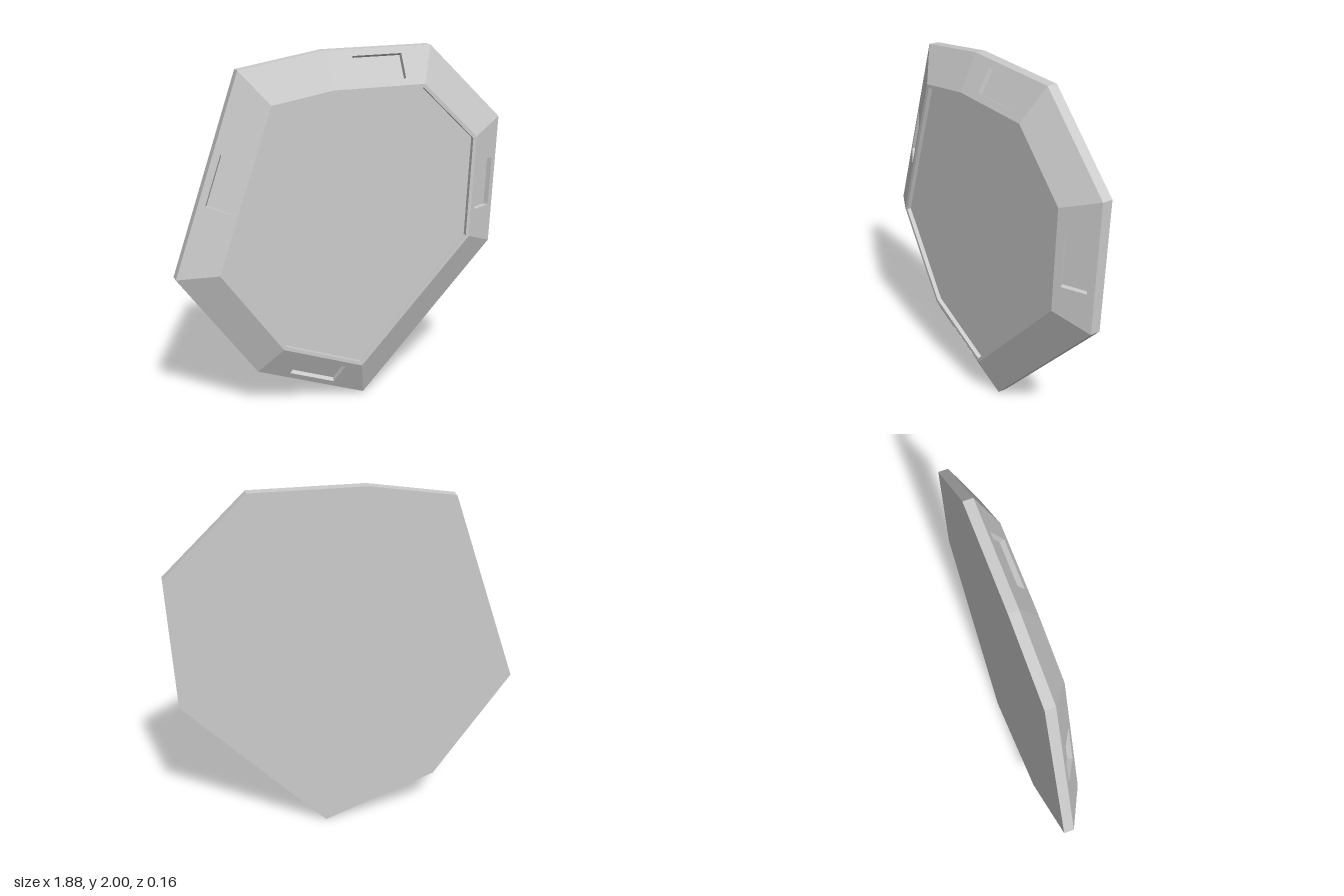
import * as THREE from 'three';

const BACK = -0.08, EDGE = -0.025, FRONT = 0.08;
const SLOT_DEPTH = 0.028, POCKET_DEPTH = 0.025;

// Counter-clockwise outline, seen from the front
const outline = [
  [0.12, 0], [0.91, 0.84], [0.94, 1.575], [0.5, 2],
  [-0.11, 2], [-0.575, 1.925], [-0.945, 0.85], [-0.515, 0.243],
].map(([x, y]) => new THREE.Vector2(x, y));

const material = new THREE.MeshStandardMaterial({ color: 0xcccccc, flatShading: true });

function addMesh(parent, name, geometry) {
  const mesh = new THREE.Mesh(geometry, material);
  mesh.name = name;
  parent.add(mesh);
  return mesh;
}

// Moves every side of a convex polygon inwards by distance d
function inset(points, d) {
  const n = points.length;
  return points.map((p, i) => {
    const a = p.clone().sub(points[(i + n - 1) % n]).normalize();
    const b = points[(i + 1) % n].clone().sub(p).normalize();
    const na = new THREE.Vector2(-a.y, a.x), nb = new THREE.Vector2(-b.y, b.x);
    return p.clone().addScaledVector(na.clone().add(nb), d / (1 + na.dot(nb)));
  });
}

// Flat polygon at depth z, with an optional hole
function plate(points, z, hole) {
  const shape = new THREE.Shape(points);
  if (hole) shape.holes.push(new THREE.Path(hole));
  return new THREE.ShapeGeometry(shape).translate(0, 0, z);
}

// Walls of a polygon from z0 to z1: facing out when rising, in when sinking
function walls(points, z0, z1) {
  const pos = [];
  points.forEach((a, i) => {
    const b = points[(i + 1) % points.length];
    pos.push(a.x, a.y, z0, b.x, b.y, z0, b.x, b.y, z1);
    pos.push(a.x, a.y, z0, b.x, b.y, z1, a.x, a.y, z1);
  });
  const g = new THREE.BufferGeometry();
  g.setAttribute('position', new THREE.Float32BufferAttribute(pos, 3));
  g.computeVertexNormals();
  return g;
}

// One sloping side, built flat and turned into place, with or without a slot
function bevelSide(a, b, c, d, slotted) {
  const side = new THREE.Group();
  side.name = slotted ? 'slottedBevel' : 'bevel';
  const centre = a.clone().add(b).add(c).add(d).multiplyScalar(0.25);
  // Centre the slot midway between the middles of both long edges
  const u = b.clone().sub(a).normalize();
  const n = u.clone().cross(d.clone().sub(a)).normalize();
  const v = n.clone().cross(u);
  const corners = [a, b, c, d].map((p) => {
    const q = p.clone().sub(centre);
    return new THREE.Vector2(q.dot(u), q.dot(v));
  });
  const slot = [[-1, -1], [1, -1], [1, 1], [-1, 1]]
    .map(([x, y]) => new THREE.Vector2(x * 0.14, y * 0.07));

  addMesh(side, 'bevelFace', plate(corners, 0, slotted ? slot : null));
  if (slotted) {
    addMesh(side, 'slotWalls', walls(slot, 0, -SLOT_DEPTH));
    addMesh(side, 'slotFloor', plate(slot, -SLOT_DEPTH));
  }
  side.applyMatrix4(new THREE.Matrix4().makeBasis(u, v, n).setPosition(centre));
  return side;
}

export function createModel() {
  const model = new THREE.Group();
  model.name = 'bevelledPlate';
  const rim = inset(outline, 0.19);
  const pocket = inset(outline, 0.21);

  // Base slab: back and outer edge
  addMesh(model, 'back', plate(outline, 0).rotateY(Math.PI).scale(1, 1, 1));
  const back = model.children[0];
  back.geometry.dispose();
  back.geometry = plate(outline, BACK);
  const index = back.geometry.index.array;
  index.reverse(); // face backwards
  back.geometry.computeVertexNormals();
  addMesh(model, 'outerEdge', walls(outline, BACK, EDGE));

  // Sloping sides; every second one holds a slot
  const at = (p, z) => new THREE.Vector3(p.x, p.y, z);
  outline.forEach((p, i) => {
    const j = (i + 1) % outline.length;
    model.add(bevelSide(at(p, EDGE), at(outline[j], EDGE),
      at(rim[j], FRONT), at(rim[i], FRONT), i % 2 === 1));
  });

  // Narrow front rim around the shallow pocket
  addMesh(model, 'frontRim', plate(rim, FRONT, pocket));
  addMesh(model, 'pocketWalls', walls(pocket, FRONT, FRONT - POCKET_DEPTH));
  addMesh(model, 'pocketFloor', plate(pocket, FRONT - POCKET_DEPTH));
  return model;
}
